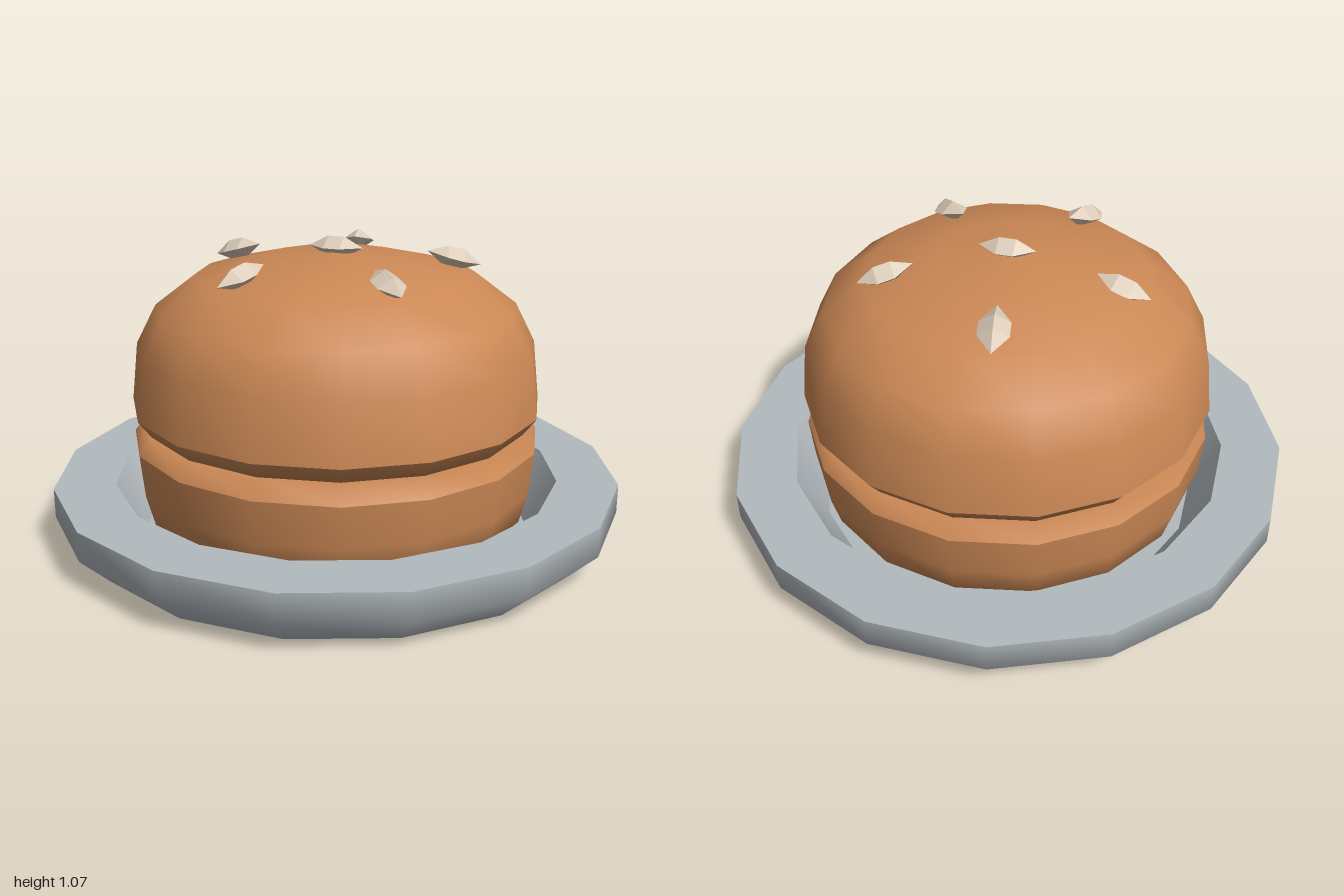
import * as THREE from 'three';

export function createModel() {
  const model = new THREE.Group();
  const bread = new THREE.MeshStandardMaterial({ name: 'toasted bread', color: 0xcb8855 });
  const ceramic = new THREE.MeshStandardMaterial({ name: 'grey ceramic', color: 0xb3babe });
  const sesame = new THREE.MeshStandardMaterial({ name: 'sesame', color: 0xdccbb8, flatShading: true });

  // Turned part with 16 sides; each section is smooth, with sharp edges between sections
  function turned(name, material, sections, phiStart = 0) {
    const group = new THREE.Group();
    group.name = name;
    sections.forEach((points, i) => {
      const profile = points.map(([r, y]) => new THREE.Vector2(r, y));
      const mesh = new THREE.Mesh(new THREE.LatheGeometry(profile, 16, phiStart), material);
      mesh.name = `${name}Section${i + 1}`;
      group.add(mesh);
    });
    model.add(group);
  }

  // Plate: base, outer side, flat rim, sloped well, floor
  turned('plate', ceramic, [
    [[0, 0], [0.91, 0]],
    [[0.91, 0], [1.02, 0.105], [1.02, 0.21]],
    [[1.02, 0.21], [0.803, 0.21]],
    [[0.803, 0.21], [0.7, 0.03]],
    [[0.7, 0.03], [0, 0.03]],
  ], Math.PI / 16);

  // Bottom bun
  turned('bottomBun', bread, [
    [[0, 0.02], [0.6, 0.02], [0.69, 0.1], [0.72, 0.21], [0.733, 0.36]],
    [[0.733, 0.36], [0.69, 0.425], [0, 0.425]],
  ]);

  // Domed top bun
  turned('topBun', bread, [
    [[0, 0.425], [0.69, 0.425], [0.735, 0.485]],
    [[0.735, 0.485], [0.712, 0.69], [0.64, 0.83], [0.495, 0.94], [0.25, 1.0], [0, 1.02]],
  ]);

  // Sesame seeds: pointed, with a rhombic cross-section, lying along z
  const seedGeometry = new THREE.LatheGeometry(
    [[0, -0.1], [0.052, -0.03], [0.052, 0.03], [0, 0.1]].map(([r, y]) => new THREE.Vector2(r, y)), 4);
  seedGeometry.rotateX(Math.PI / 2);
  seedGeometry.scale(1, 0.7, 1);

  // Position x, y, z; the outer seeds point outward and tilt down the dome
  const seeds = [
    [0, 1.035, 0], [0, 0.985, 0.415],
    [0.4, 0.988, 0.13], [-0.4, 0.988, 0.13],
    [0.245, 0.988, -0.34], [-0.245, 0.988, -0.34],
  ];
  seeds.forEach(([x, y, z], i) => {
    const seed = new THREE.Mesh(seedGeometry, sesame);
    seed.name = `seed${i + 1}`;
    seed.position.set(x, y, z);
    seed.rotation.order = 'YXZ';
    seed.rotation.y = i === 0 ? Math.PI / 4 : Math.atan2(x, z);
    seed.rotation.x = i === 0 ? 0 : 0.27;
    model.add(seed);
  });

  return model;
}
